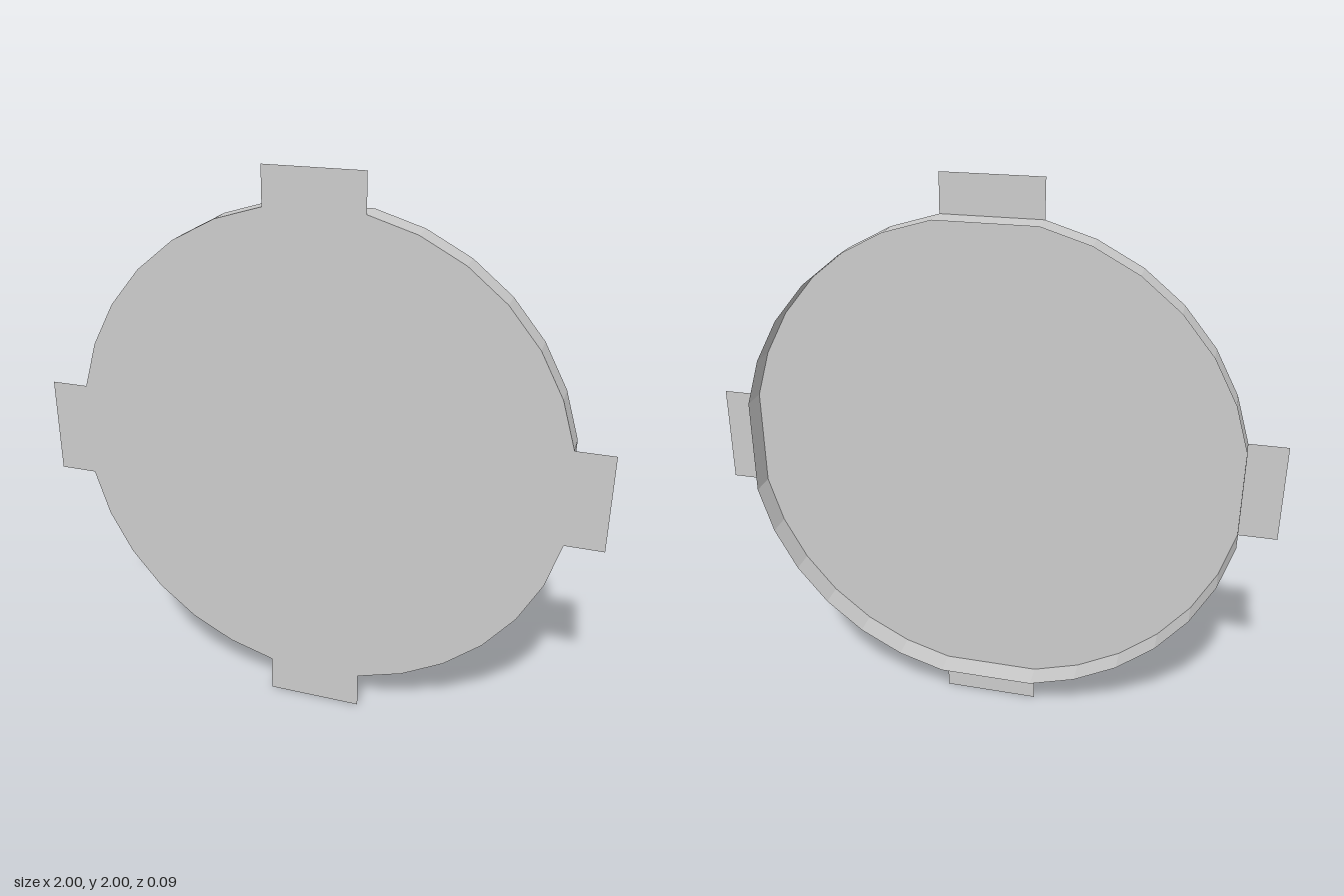
import * as THREE from 'three';

export function createModel() {
  const group = new THREE.Group();
  const radius = 0.884, depth = 0.091, step = Math.PI / 16;
  const flat = radius * Math.cos(step);      // distance to the four long flats
  const tabWidth = 2 * radius * Math.sin(step);
  const tabLength = 1 - flat;
  const material = new THREE.MeshStandardMaterial({ color: 0xcccccc, flatShading: true, side: THREE.DoubleSide });

  function addPart(name, geometry, z) {
    const part = new THREE.Mesh(geometry, material);
    part.name = name;
    part.position.set(0, 1, z);
    group.add(part);
    return part;
  }

  // Outline: 32 even steps, skipping the four axis corners to leave a long flat at each tab
  const outline = [];
  for (let i = 0; i < 32; i++) {
    if (i % 8 === 0) continue;
    outline.push(new THREE.Vector2(radius * Math.cos(i * step), radius * Math.sin(i * step)));
  }

  // Thin front panel closing the shallow pan
  addPart('frontPanel', new THREE.ShapeGeometry(new THREE.Shape(outline)), depth / 2);

  // Thin rim running back from the panel, open at the back
  const positions = [], indices = [];
  outline.forEach((p, i) => {
    positions.push(p.x, p.y, depth / 2, p.x, p.y, -depth / 2);
    const a = 2 * i, b = 2 * ((i + 1) % outline.length);
    indices.push(a, a + 1, b, b, a + 1, b + 1);
  });
  const rimGeometry = new THREE.BufferGeometry();
  rimGeometry.setAttribute('position', new THREE.Float32BufferAttribute(positions, 3));
  rimGeometry.setIndex(indices);
  const flatRim = rimGeometry.toNonIndexed();
  flatRim.computeVertexNormals();
  addPart('rim', flatRim, 0);

  // Four thin tabs, level with the front panel
  const tabGeometry = new THREE.PlaneGeometry(tabLength, tabWidth).translate(flat + tabLength / 2, 0, 0);
  ['leftTab', 'topTab', 'rightTab', 'bottomTab'].forEach((name, i) => {
    addPart(name, tabGeometry, depth / 2).rotation.z = i * Math.PI / 2;
  });

  return group;
}
